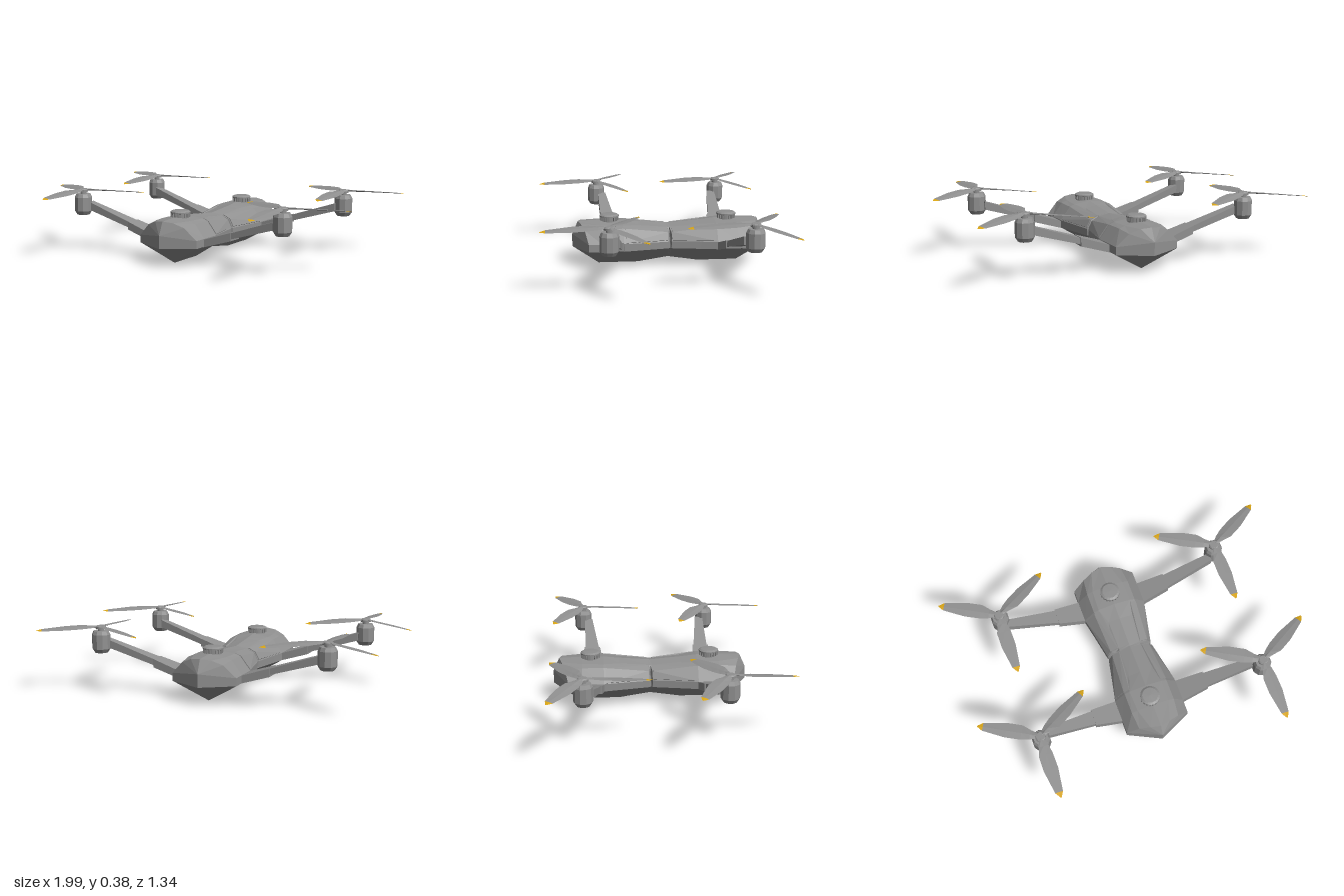
import * as THREE from 'three';
import { ConvexGeometry } from 'three/addons/geometries/ConvexGeometry.js';

const mat = (name, color) => Object.assign(new THREE.MeshStandardMaterial({ color, flatShading: true }), { name });

// Skin over a list of closed rings of [x, y, z], ordered towards +z.
function loft(rings) {
  const pos = [];
  const tri = (...p) => p.forEach(v => pos.push(...v));
  for (let i = 0; i < rings.length - 1; i++) {
    const n = rings[i].length;
    for (let j = 0; j < n; j++) {
      const k = (j + 1) % n;
      tri(rings[i][j], rings[i][k], rings[i + 1][k]);
      tri(rings[i][j], rings[i + 1][k], rings[i + 1][j]);
    }
  }
  const g = new THREE.BufferGeometry();
  g.setAttribute('position', new THREE.Float32BufferAttribute(pos, 3));
  g.computeVertexNormals();
  return g;
}

const hull = pts => new ConvexGeometry(pts.map(p => new THREE.Vector3(...p)));
const lathe = (pts, sides) => new THREE.LatheGeometry(pts.map(p => new THREE.Vector2(...p)), sides);

export function createModel() {
  const grey = mat('grey shell', 0x909090);
  const yellow = mat('yellow tip', 0xd9a514);
  const model = new THREE.Group();
  model.name = 'quadcopter';
  const add = (parent, name, geo, material = grey) => {
    const m = new THREE.Mesh(geo, material);
    m.name = name;
    parent.add(m);
    return m;
  };

  // Fuselage, symmetric fore and aft; half sections run from keel to spine.
  const body = new THREE.Group();
  body.name = 'fuselage';
  body.position.set(-0.006, 0, -0.095);
  model.add(body);
  const at = (w, pts) => pts.map(([x, y]) => [x, y, w]);
  const half = [
    at(0, [[0, 0.027], [0.125, 0.11], [0.115, 0.15], [0.09, 0.185], [0.065, 0.223], [0, 0.235]]),
    at(0.01, [[0, 0.026], [0.137, 0.11], [0.137, 0.15], [0.112, 0.2], [0.065, 0.223], [0, 0.236]]),
    at(0.18, [[0, 0], [0.17, 0.11], [0.17, 0.153], [0.122, 0.222], [0.068, 0.238], [0, 0.25]]),
    at(0.275, [[0, 0], [0.19, 0.11], [0.19, 0.155], [0.13, 0.233], [0.1, 0.246], [0, 0.26]]),
    at(0.4, [[0, 0], [0.19, 0.11], [0.19, 0.155], [0.13, 0.235], [0.095, 0.248], [0, 0.262]]),
    [[0, 0, 0.415], [0.19, 0.11, 0.48], [0.19, 0.155, 0.48], [0.12, 0.225, 0.5], [0.06, 0.25, 0.52], [0, 0.257, 0.535]],
    [0.105, 0.105, 0.18, 0.18, 0.18, 0.18].map(y => [0, y, 0.57]),
  ];
  const ring = (h, s) => [
    ...h.map(([x, y, z]) => [x, y, s * z]),
    ...h.slice(1, -1).reverse().map(([x, y, z]) => [-x, y, s * z]),
  ];
  add(body, 'shell', loft([
    ...half.slice(1).reverse().map(h => ring(h, -1)),
    ...half.map(h => ring(h, 1)),
  ]));

  // Raised side panels on either side of the waist gap
  for (const sx of [1, -1]) for (const sz of [1, -1]) {
    const front = [[0.134, 0.157], [0.112, 0.2], [0.068, 0.222]].map(p => [...p, 0.014]);
    const back = [[0.184, 0.158], [0.128, 0.23], [0.094, 0.243]].map(p => [...p, 0.262]);
    const pts = [...front, ...back].flatMap(([x, y, z]) => [
      [sx * (x - 0.008), y - 0.006, sz * z],
      [sx * (x + 0.004), y + 0.003, sz * z],
    ]);
    add(body, 'sidePanel', hull(pts));
  }

  // Ribbed sensor domes on the spine
  for (const sz of [1, -1]) {
    const dome = new THREE.Group();
    dome.name = 'sensorDome';
    dome.position.set(0, 0, sz * 0.35);
    body.add(dome);
    add(dome, 'domeCore', lathe([[0.05, 0.24], [0.05, 0.28], [0.058, 0.282], [0.058, 0.289], [0.046, 0.296], [0, 0.298]], 20));
    for (let i = 0; i < 18; i++) {
      const a = i * Math.PI / 9;
      const rib = add(dome, 'domeRib', new THREE.BoxGeometry(0.008, 0.022, 0.009));
      rib.position.set(Math.sin(a) * 0.052, 0.271, Math.cos(a) * 0.052);
      rib.rotation.y = a;
    }
  }

  // Arms: each end is [x, y0, y1, d0, d1], d being the distance fore or aft of the centre
  const beam = (a, b, sx, sz) => hull([a, b].flatMap(([x, y0, y1, d0, d1]) => [
    [sx * x, y0, sz * d0], [sx * x, y0, sz * d1], [sx * x, y1, sz * d0], [sx * x, y1, sz * d1],
  ]));

  // Blade sections: [distance, left, right, height, thickness]
  const blade = [
    [0.015, 0.014, 0.014, 0.008, 0.006],
    [0.06, 0.026, 0.028, 0.006, 0.005],
    [0.11, 0.045, 0.036, 0.004, 0.004],
    [0.2, 0.045, 0.038, 0, 0.003],
    [0.335, 0.024, 0.021, -0.007, 0.002],
    [0.367, 0.003, 0.003, -0.009, 0.001],
  ].map(([r, l, w, y, t]) => [
    [0, y - t, r], [w, y - w * 0.15, r], [0, y + t, r], [-l, y + l * 0.15, r],
  ]);
  const bladeGeo = loft(blade.slice(0, 5));
  const tipGeo = loft(blade.slice(4));

  for (const sx of [1, -1]) for (const sz of [1, -1]) {
    const arm = new THREE.Group();
    arm.name = (sz > 0 ? 'front' : 'rear') + (sx > 0 ? 'Left' : 'Right') + 'Arm';
    arm.position.set(-0.003, 0, -0.095);
    model.add(arm);
    add(arm, 'armSleeve', beam([0.16, 0.1, 0.143, 0.27, 0.405], [0.35, 0.155, 0.203, 0.29, 0.387], sx, sz));
    add(arm, 'armBeam', beam([0.33, 0.16, 0.194, 0.295, 0.38], [0.645, 0.25, 0.297, 0.334, 0.382], sx, sz));

    // Motor pod
    const rotor = new THREE.Group();
    rotor.name = 'rotor';
    rotor.position.set(sx * 0.677, 0, sz * 0.392);
    arm.add(rotor);
    add(rotor, 'motor', lathe([[0, 0.22], [0.038, 0.22], [0.053, 0.243], [0.053, 0.325], [0.043, 0.346], [0, 0.346]], 10));
    add(rotor, 'hub', lathe([[0.018, 0.345], [0.018, 0.356], [0.03, 0.358], [0.03, 0.37], [0.024, 0.376], [0, 0.376]], 16));

    // Three-bladed propeller
    for (let i = 0; i < 3; i++) {
      const b = new THREE.Group();
      b.name = 'blade';
      b.position.y = 0.363;
      b.rotation.y = i * Math.PI * 2 / 3;
      rotor.add(b);
      add(b, 'bladeBody', bladeGeo);
      add(b, 'bladeTip', tipGeo, yellow);
    }
  }
  return model;
}
